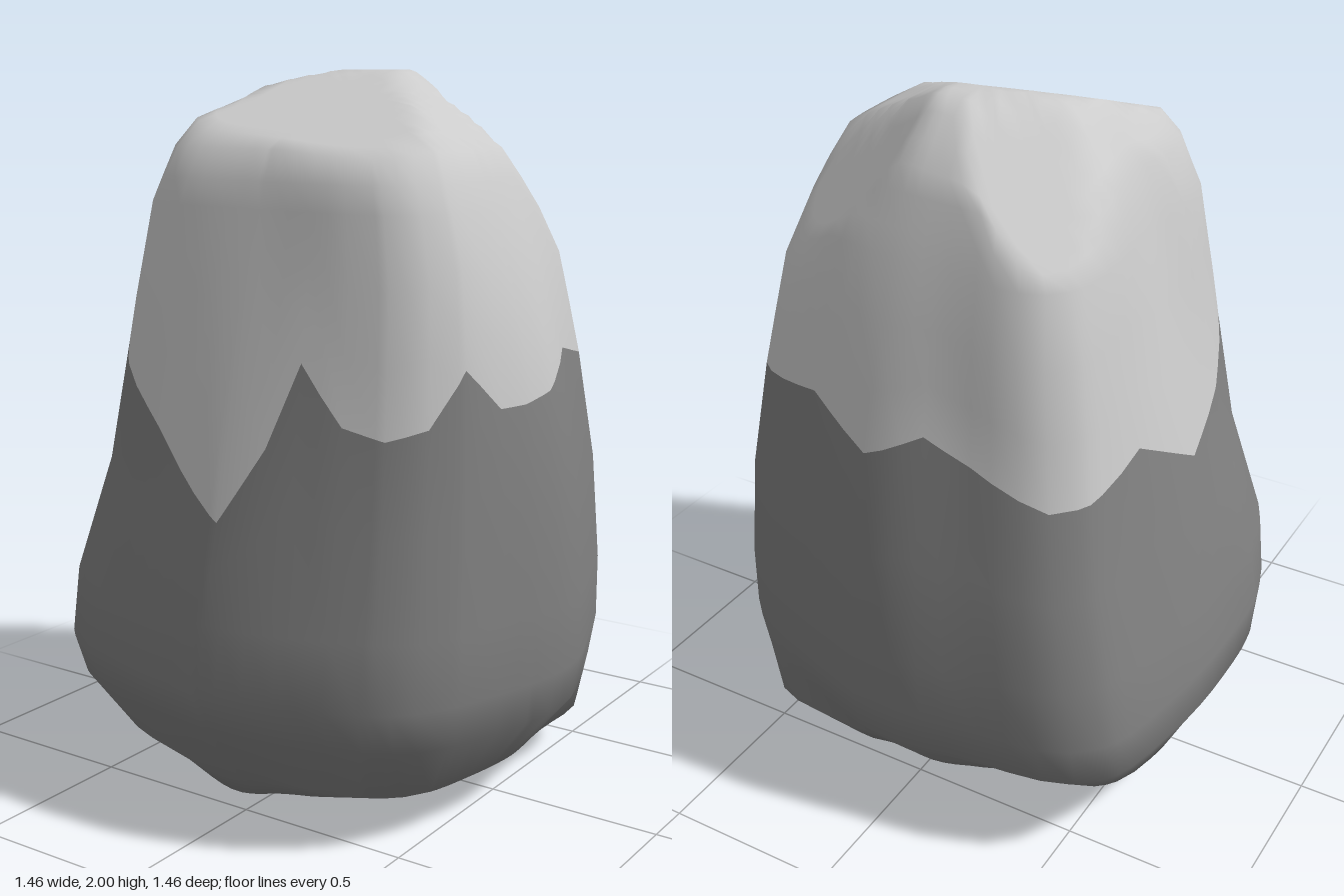
import * as THREE from 'three';

const { lerp, smoothstep, degToRad } = THREE.MathUtils;

// Extents by height: [y, -x, +x, -z, +z]
const LEVELS = [
  [0.05, 0.36, 0.29, 0.49, 0.43],
  [0.13, 0.61, 0.57, 0.57, 0.55],
  [0.30, 0.73, 0.71, 0.71, 0.68],
  [0.42, 0.725, 0.73, 0.73, 0.73],
  [0.60, 0.69, 0.73, 0.73, 0.70],
  [0.90, 0.62, 0.71, 0.70, 0.63],
  [1.20, 0.55, 0.66, 0.62, 0.56],
  [1.50, 0.47, 0.58, 0.54, 0.47],
  [1.65, 0.44, 0.52, 0.49, 0.43],
  [1.72, 0.41, 0.49, 0.46, 0.41],
  [1.80, 0.39, 0.45, 0.43, 0.37],
  [1.88, 0.35, 0.37, 0.40, 0.31],
];

// Relative radius of the plan outline every 22.5 degrees, from +x towards +z
const OUTLINE = [1, 1, 1.06, 1.01, 1, 1, 1.08, 1.04, 1, 1.05, 1.17, 1.03, 1, 0.97, 1.03, 0.97];

// Jagged lower edge of the cap: [degrees, y]
const EDGE = [
  [3, 1.18], [14, 1.16], [23, 1.16], [34, 1.27], [43, 1.13], [52, 1.10], [61, 1.13],
  [71, 1.28], [78, 1.06], [88, 0.86], [120, 1.11], [134, 1.22], [141, 1.28], [160, 1.12],
  [180, 1.01], [203, 1.16], [219, 1.10], [228, 1.10], [245, 1.19], [258, 1.24],
  [275, 1.15], [294, 1.24], [318, 1.20], [349, 1.27], [363, 1.18],
];

// Linear lookup in a table sorted by its first column
function lookup(table, v, col) {
  let i = 0;
  while (i < table.length - 2 && v > table[i + 1][0]) i++;
  const [a, b] = [table[i], table[i + 1]];
  const t = THREE.MathUtils.clamp((v - a[0]) / (b[0] - a[0]), 0, 1);
  return lerp(a[col], b[col], t);
}

// Smooth closed interpolation of the plan outline
function outlineRadius(deg) {
  const k = deg / 22.5, i = Math.floor(k), t = k - i;
  const [a, b, c, d] = [15, 16, 17, 18].map((o) => OUTLINE[(i + o) % 16]);
  return b + 0.5 * t * (c - a + t * (2 * a - 5 * b + 4 * c - d + t * (3 * (b - c) + d - a)));
}

const edgeHeight = (deg) => lookup(EDGE, deg < 3 ? deg + 360 : deg, 1);
const bell = (v, centre, width) => Math.exp(-(((v - centre) / width) ** 2));

// Sloping facets that cut off the top
const topHeight = (x, z) => Math.min(
  2, 1.945 - 0.38 * z - 0.08 * x, 2.03 - 0.5 * x, 2.26 + 1.15 * x, 2.03 + 0.25 * x,
  2.3 + 1.1 * z, 2.18 + 0.6 * (x + z), 2.28 - 0.9 * (x - z));

// Point of the boulder's side at a height and angle
function sidePoint(deg, y) {
  const a = degToRad(deg), c = Math.cos(a), s = Math.sin(a);
  // Corners are squarer near the top (except one) and at the base (mostly that one)
  const corner = bell(deg, 315, 35);
  const square = (0.17 - 0.12 * corner) * smoothstep(y, 0.9, 1.75)
    + (0.08 + 0.2 * corner) * (1 - smoothstep(y, 0.05, 0.3));
  const bulge = 0.05 * bell(deg, 148, 25) * bell(y, 0.65, 0.25);
  const r = outlineRadius(deg) + square * Math.sin(2 * a) ** 2 + bulge;
  const x = c * r * lookup(LEVELS, y, c < 0 ? 1 : 2);
  const z = s * r * lookup(LEVELS, y, s < 0 ? 3 : 4);
  return [x, y, z];
}

// Column of points from the middle of the underside to the middle of the top
function column(deg) {
  const points = [];
  // Underside, with a low tip at the front
  const [bx, , bz] = sidePoint(deg, 0.05);
  const rimY = 0.045 - 0.045 * bell(deg, 108, 24) + 0.06 * bell(deg, 228, 22);
  for (const f of [0, 0.5, 1]) points.push([bx * f, lerp(0.06, rimY, f * f), bz * f]);
  // Lower side: a notch under a small overhanging lump
  const lower = sidePoint(deg, 0.13);
  lower[1] += 0.08 * bell(deg, 238, 20) + 0.08 * bell(deg, 148, 18);
  const out = 1 + 0.04 * bell(deg, 194, 20);
  const notch = 0.1 * bell(deg, 180, 40);
  points.push([lerp(bx, lower[0], 0.5), lerp(rimY, lower[1], 0.5) + notch, lerp(bz, lower[2], 0.5)]);
  points.push([lower[0] * out, lower[1], lower[2] * out]);
  for (const y of [0.3, 0.42, 0.6]) points.push(sidePoint(deg, y));
  const line = edgeHeight(deg);
  for (const f of [0.5, 1]) points.push(sidePoint(deg, lerp(0.6, line, f)));
  const split = points.length - 1;
  // Upper side and top
  for (const f of [0.33, 0.66, 1]) points.push(sidePoint(deg, lerp(line, 1.65, f)));
  for (const y of [1.72, 1.8, 1.88]) points.push(sidePoint(deg, y));
  const [tx, , tz] = points[points.length - 1];
  for (let f = 7; f >= 0; f--) points.push([tx * f / 8, 2, tz * f / 8]);
  for (const p of points) p[1] = Math.min(p[1], topHeight(p[0], p[2]));
  return { points, split };
}

export function createModel() {
  // Angles: regular steps plus every tooth of the cap's edge
  const degrees = new Set(EDGE.map(([d]) => d % 360));
  for (let d = 0; d < 360; d += 6) {
    if (![...degrees].some((e) => Math.abs(e - d) < 2)) degrees.add(d);
  }
  const columns = [...degrees].sort((a, b) => a - b).map(column);
  const n = columns.length, rows = columns[0].points.length, split = columns[0].split;

  // Shared skin, so shading runs smoothly across the cap's edge
  const faces = (from, to) => {
    const index = [];
    for (let i = 0; i < n; i++) {
      const j = (i + 1) % n;
      for (let r = from; r < to; r++) {
        const a = i * rows + r, b = j * rows + r;
        if (r < rows - 2) index.push(a, a + 1, b + 1);
        else index.push(a, a + 1, b);
        if (r > 0 && r < rows - 2) index.push(a, b + 1, b);
      }
    }
    return index;
  };
  const skin = new THREE.BufferGeometry();
  skin.setAttribute('position', new THREE.Float32BufferAttribute(columns.flatMap((c) => c.points.flat()), 3));
  skin.setIndex(faces(0, rows - 1));
  skin.computeVertexNormals();

  const group = new THREE.Group();
  group.name = 'cappedBoulder';
  const addPart = (name, color, from, to) => {
    const geometry = skin.clone();
    geometry.setIndex(faces(from, to));
    const mesh = new THREE.Mesh(geometry, new THREE.MeshStandardMaterial({ color }));
    mesh.name = name;
    group.add(mesh);
  };
  addPart('rock', 0x808080, 0, split);
  addPart('snowCap', 0xcccccc, split, rows - 1);
  return group;
}
